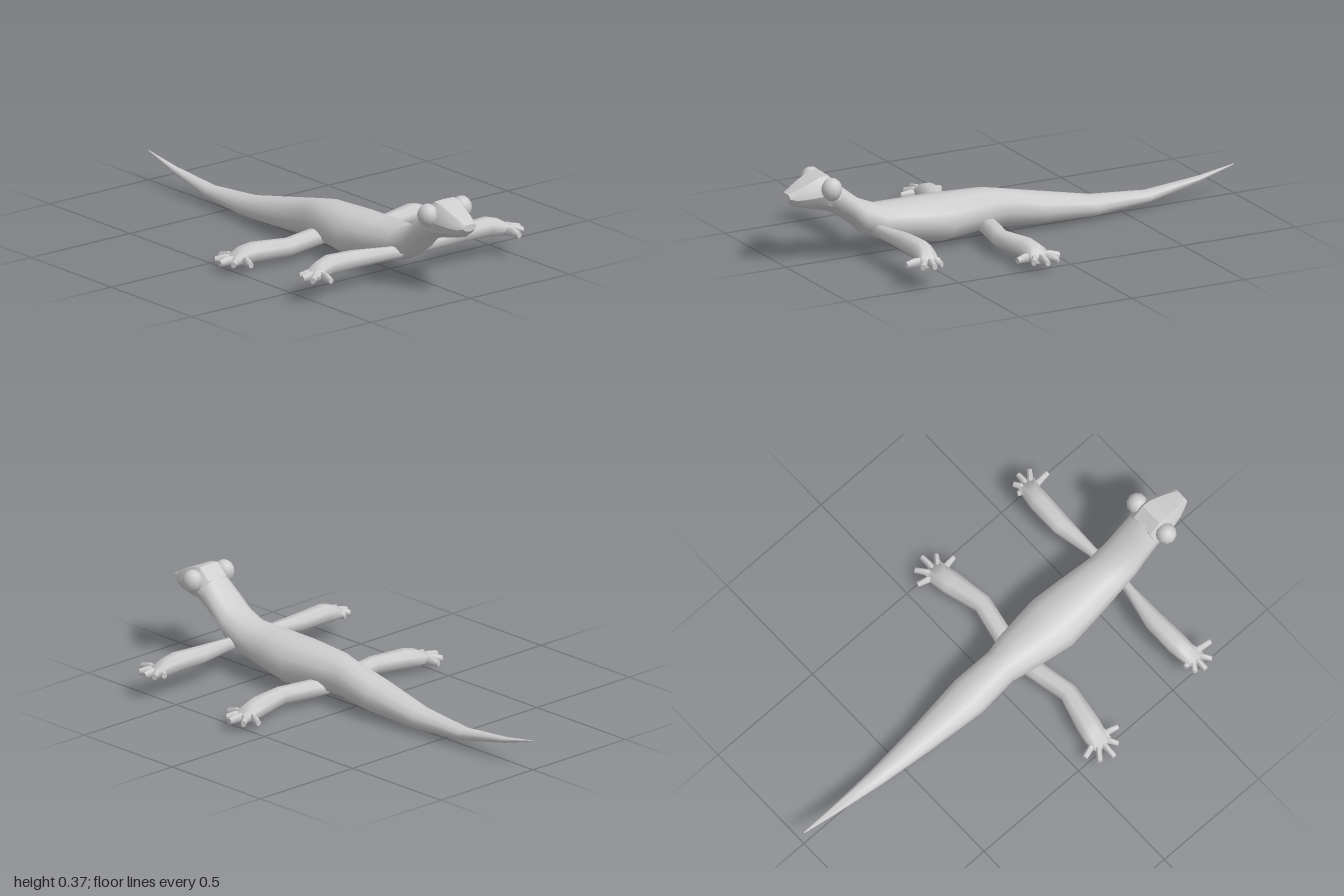
import * as THREE from 'three';
import { toCreasedNormals } from 'three/addons/utils/BufferGeometryUtils.js';

const skin = new THREE.MeshStandardMaterial({ color: 0xcccccc });
skin.name = 'grey skin';

// Half sections from top to bottom, mirrored into a closed counterclockwise ring
const ring = (half) => [
  ...half.slice().reverse(),
  ...half.slice(1, -1).map(([u, v]) => [-u, v]),
];
const bodySection = ring([[0, 1], [0.52, 0.9], [0.9, 0.5], [1, -0.05], [0.76, -0.6], [0, -1]]);
const headSection = ring([[0, 1], [0.6, 0.98], [0.92, 0.5], [1, 0], [0.72, -0.6], [0, -1]]);
const limbSection = Array.from({ length: 8 }, (_, i) => {
  const a = ((i + 0.5) * Math.PI) / 4;
  return [Math.cos(a) * 1.08, Math.sin(a) * 1.08];
});

// Joins upright sections along a path; each station is [x, y, z, halfWidth, halfHeight]
function loft(stations, section, crease) {
  const pos = [], index = [], n = section.length, last = stations.length - 1;
  stations.forEach(([x, y, z, w, h], i) => {
    const a = stations[Math.max(i - 1, 0)], b = stations[Math.min(i + 1, last)];
    const dx = b[0] - a[0], dz = b[2] - a[2], len = Math.hypot(dx, dz);
    for (const [u, v] of section) pos.push(x + (dz / len) * u * w, y + v * h, z - (dx / len) * u * w);
  });
  for (const i of [0, last]) pos.push(...stations[i].slice(0, 3));
  const start = (last + 1) * n, end = start + 1;
  for (let j = 0; j < n; j++) {
    const k = (j + 1) % n;
    for (let i = 0; i < last; i++) {
      const a = i * n + j, b = i * n + k;
      index.push(a, b, b + n, a, b + n, a + n);
    }
    index.push(start, k, j, end, last * n + j, last * n + k);
  }
  const geo = new THREE.BufferGeometry();
  geo.setAttribute('position', new THREE.Float32BufferAttribute(pos, 3));
  geo.setIndex(index);
  return toCreasedNormals(geo, crease);
}

// Centred rows of [z, halfWidth, bottom, top]
const spine = (rows) => rows.map(([z, w, b, t]) => [0, (b + t) / 2, z, w, (t - b) / 2]);

const legs = {
  front: {
    path: [
      [0.05, 0.12, 0.632, 0.018, 0.025], [0.11, 0.121, 0.627, 0.019, 0.026],
      [0.27, 0.126, 0.61, 0.038, 0.033], [0.4, 0.128, 0.612, 0.041, 0.037],
      [0.45, 0.118, 0.618, 0.038, 0.034], [0.505, 0.103, 0.632, 0.038, 0.015],
    ],
    palm: [0.465, 0.106, 0.628],
    toes: [[0.49, 0.577], [0.53, 0.592], [0.548, 0.632], [0.532, 0.678], [0.475, 0.722]],
  },
  hind: {
    path: [
      [0.04, 0.066, 0.135, 0.04, 0.03], [0.11, 0.067, 0.146, 0.037, 0.034],
      [0.25, 0.066, 0.175, 0.036, 0.034], [0.4, 0.067, 0.142, 0.046, 0.037],
      [0.45, 0.06, 0.133, 0.045, 0.034], [0.505, 0.047, 0.135, 0.042, 0.015],
    ],
    palm: [0.46, 0.05, 0.135],
    toes: [[0.488, 0.045], [0.54, 0.078], [0.562, 0.135], [0.532, 0.183], [0.478, 0.228]],
  },
};

export function createModel() {
  const model = new THREE.Group();
  model.name = 'lizard';
  const add = (parent, name, geometry) => {
    const mesh = new THREE.Mesh(geometry, skin);
    mesh.name = name;
    parent.add(mesh);
    return mesh;
  };

  // Tail, trunk and neck in one skin
  add(model, 'body', loft(spine([
    [-1, 0.002, 0.124, 0.128], [-0.84, 0.017, 0.076, 0.1], [-0.61, 0.037, 0.025, 0.077],
    [-0.37, 0.06, 0.006, 0.095], [-0.13, 0.085, 0.013, 0.145], [0.04, 0.075, 0.025, 0.184],
    [0.11, 0.093, 0.028, 0.196], [0.31, 0.121, 0.008, 0.201], [0.45, 0.108, 0.034, 0.204],
    [0.59, 0.092, 0.063, 0.206], [0.68, 0.088, 0.105, 0.243], [0.74, 0.084, 0.167, 0.29],
    [0.8, 0.081, 0.204, 0.342], [0.825, 0.076, 0.215, 0.358],
  ]), bodySection, 1.1));

  // Wedge-shaped head with a blunt snout
  add(model, 'head', loft(spine([
    [0.79, 0.08, 0.203, 0.331], [0.84, 0.08, 0.218, 0.376], [0.875, 0.08, 0.226, 0.37],
    [0.94, 0.062, 0.242, 0.339], [0.975, 0.046, 0.253, 0.322], [1, 0.034, 0.28, 0.309],
  ]), headSection, 0.6));

  for (const side of [1, -1]) {
    const label = side > 0 ? 'left' : 'right';

    // Bulging eye
    const eye = add(model, `${label}Eye`, new THREE.SphereGeometry(0.042, 10, 8));
    eye.position.set(side * 0.085, 0.326, 0.842);
    eye.scale.y = 1.1;

    // Leg with five splayed toes
    for (const [kind, { path, palm, toes }] of Object.entries(legs)) {
      const leg = new THREE.Group();
      leg.name = `${label}${kind === 'front' ? 'Front' : 'Hind'}Leg`;
      model.add(leg);
      add(leg, 'limb', loft(path.map(([x, ...rest]) => [side * x, ...rest]), limbSection, 1.1));
      for (const [tx, tz] of toes) {
        const at = (t, lift, w, h) => [
          side * (palm[0] + (tx - palm[0]) * t), palm[1] + lift, palm[2] + (tz - palm[2]) * t, w, h,
        ];
        add(leg, 'toe', loft([
          at(0.1, 0, 0.014, 0.016), at(0.6, 0.002, 0.012, 0.017), at(1, -0.002, 0.01, 0.012),
        ], limbSection, 0.9));
      }
    }
  }
  return model;
}
